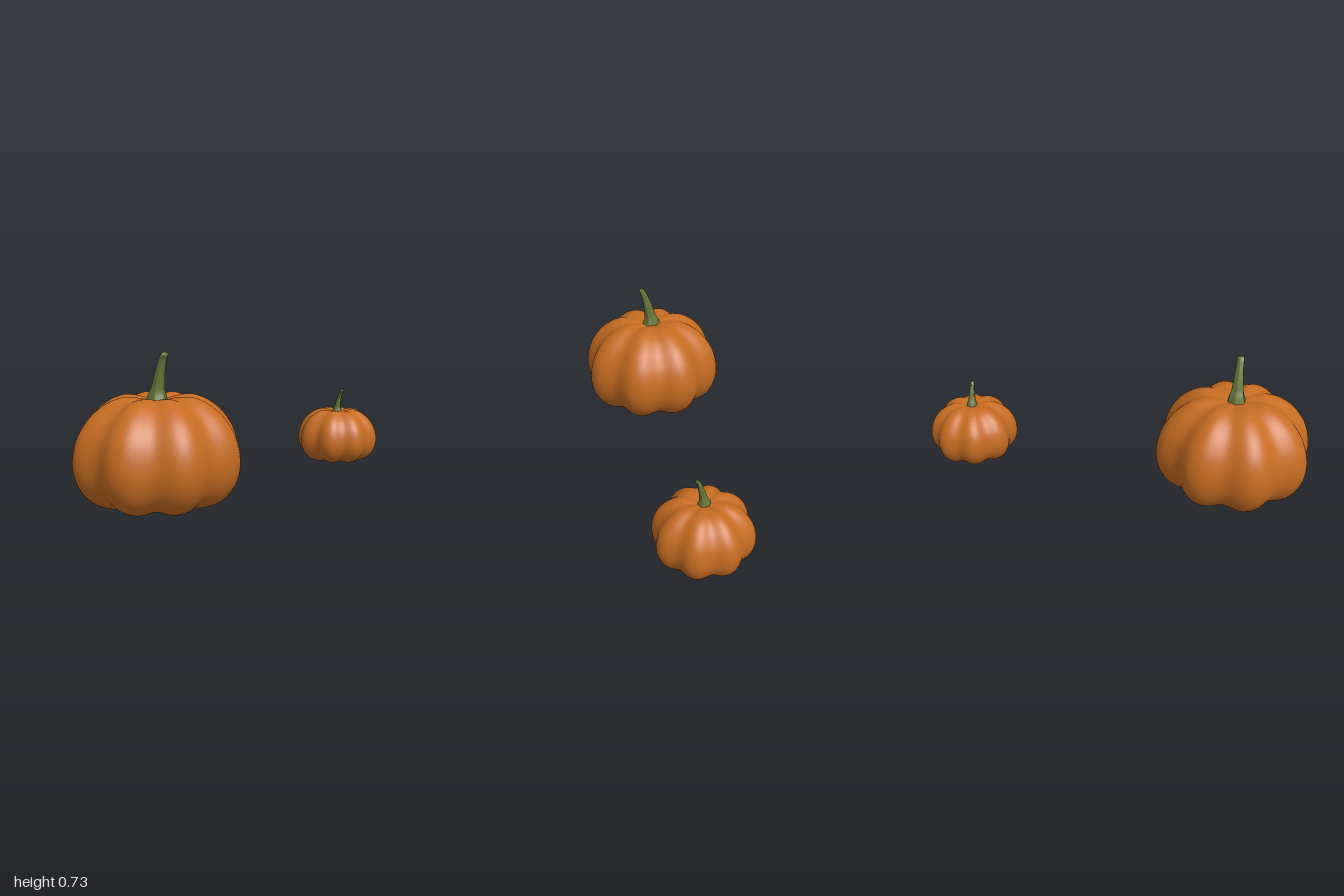
import * as THREE from 'three';
import { mergeVertices } from 'three/addons/utils/BufferGeometryUtils.js';

// Drop split seams so that normals are smooth all round
function smooth(geo) {
  geo.deleteAttribute('uv');
  geo.deleteAttribute('normal');
  const merged = mergeVertices(geo, 1e-5);
  merged.computeVertexNormals();
  return merged;
}

// Lathed skin pushed inwards along eight soft grooves
function bodyGeometry() {
  const curve = new THREE.SplineCurve([
    [0, 0.02], [0.1, 0.022], [0.2, 0.028], [0.25, 0.039], [0.305, 0.065], [0.35, 0.11],
    [0.38, 0.17], [0.391, 0.235], [0.385, 0.3], [0.367, 0.36], [0.339, 0.41], [0.297, 0.46],
    [0.243, 0.5], [0.2, 0.52], [0.155, 0.53], [0.09, 0.525], [0.04, 0.515], [0, 0.512],
  ].map(([x, y]) => new THREE.Vector2(x, y)));
  const rows = 56, segments = 128;
  const profile = curve.getPoints(rows);
  profile.forEach((p) => { p.x = Math.max(p.x, 0); });
  const geo = new THREE.LatheGeometry(profile, segments);
  const pos = geo.attributes.position;
  for (let i = 0; i <= segments; i++) {
    const phi = (i / segments) * Math.PI * 2;
    const groove = Math.pow(0.5 + 0.5 * Math.cos(8 * phi), 1.2);
    for (let j = 0; j <= rows; j++) {
      const p = profile[j];
      const t = curve.getTangent(j / rows);
      const depth = 0.04 * Math.pow(p.x / 0.39, 1.3) * groove;
      const r = Math.max(p.x - t.y * depth, 0);
      pos.setXYZ(i * (rows + 1) + j, r * Math.sin(phi), p.y + t.x * depth, r * Math.cos(phi));
    }
  }
  return smooth(geo);
}

// Ribbed stalk: tapering rings along a bent centre line, closed at the tip
function stemGeometry() {
  // x, y, radius across, radius in depth
  const keys = [
    [-0.002, 0.505, 0.05, 0.046], [-0.001, 0.535, 0.04, 0.038], [0.005, 0.565, 0.029, 0.03],
    [0.014, 0.61, 0.024, 0.025], [0.026, 0.655, 0.019, 0.021], [0.038, 0.69, 0.016, 0.018],
    [0.047, 0.71, 0.0145, 0.018], [0.058, 0.721, 0.012, 0.017],
  ];
  const centre = new THREE.CatmullRomCurve3(keys.map((k) => new THREE.Vector3(k[0], k[1], 0)));
  const size = new THREE.CatmullRomCurve3(keys.map((k) => new THREE.Vector3(k[2], k[3], 0)));
  const rings = 24, sides = 30, verts = [], index = [];
  for (let i = 0; i <= rings; i++) {
    const u = i / rings;
    const c = centre.getPoint(u), s = size.getPoint(u), t = centre.getTangent(u);
    for (let j = 0; j < sides; j++) {
      const a = (j / sides) * Math.PI * 2;
      const rib = 1 + 0.08 * Math.cos(6 * a);
      const across = Math.cos(a) * s.x * rib;
      verts.push(c.x + t.y * across, c.y - t.x * across, Math.sin(a) * s.y * rib);
    }
  }
  for (let i = 0; i < rings; i++) {
    for (let j = 0; j < sides; j++) {
      const k = (j + 1) % sides;
      const a = i * sides + j, b = i * sides + k, c = a + sides, d = b + sides;
      index.push(a, c, b, b, c, d);
    }
  }
  // Rounded tip
  const end = centre.getPoint(1).addScaledVector(centre.getTangent(1), 0.005);
  verts.push(end.x, end.y, 0);
  const tip = (rings + 1) * sides;
  for (let j = 0; j < sides; j++) {
    index.push(rings * sides + j, tip, rings * sides + ((j + 1) % sides));
  }
  const geo = new THREE.BufferGeometry();
  geo.setAttribute('position', new THREE.Float32BufferAttribute(verts, 3));
  geo.setIndex(index);
  geo.computeVertexNormals();
  return geo;
}

export function createModel() {
  const orange = new THREE.MeshStandardMaterial({ color: 0xc66c22 });
  orange.name = 'pumpkinOrange';
  const green = new THREE.MeshStandardMaterial({ color: 0x66753a });
  green.name = 'stemGreen';
  const body = bodyGeometry(), stem = stemGeometry();

  const model = new THREE.Group();
  model.name = 'pumpkins';
  const addPumpkin = (name, scale, y, z) => {
    const pumpkin = new THREE.Group();
    pumpkin.name = name;
    const skin = new THREE.Mesh(body, orange);
    skin.name = 'body';
    const stalk = new THREE.Mesh(stem, green);
    stalk.name = 'stem';
    pumpkin.add(skin, stalk);
    pumpkin.scale.setScalar(scale);
    pumpkin.position.set(0, y, z);
    model.add(pumpkin);
  };
  addPumpkin('largePumpkin', 1, 0, 0.637);
  addPumpkin('smallPumpkin', 0.6, -0.012, -0.782);
  return model;
}
